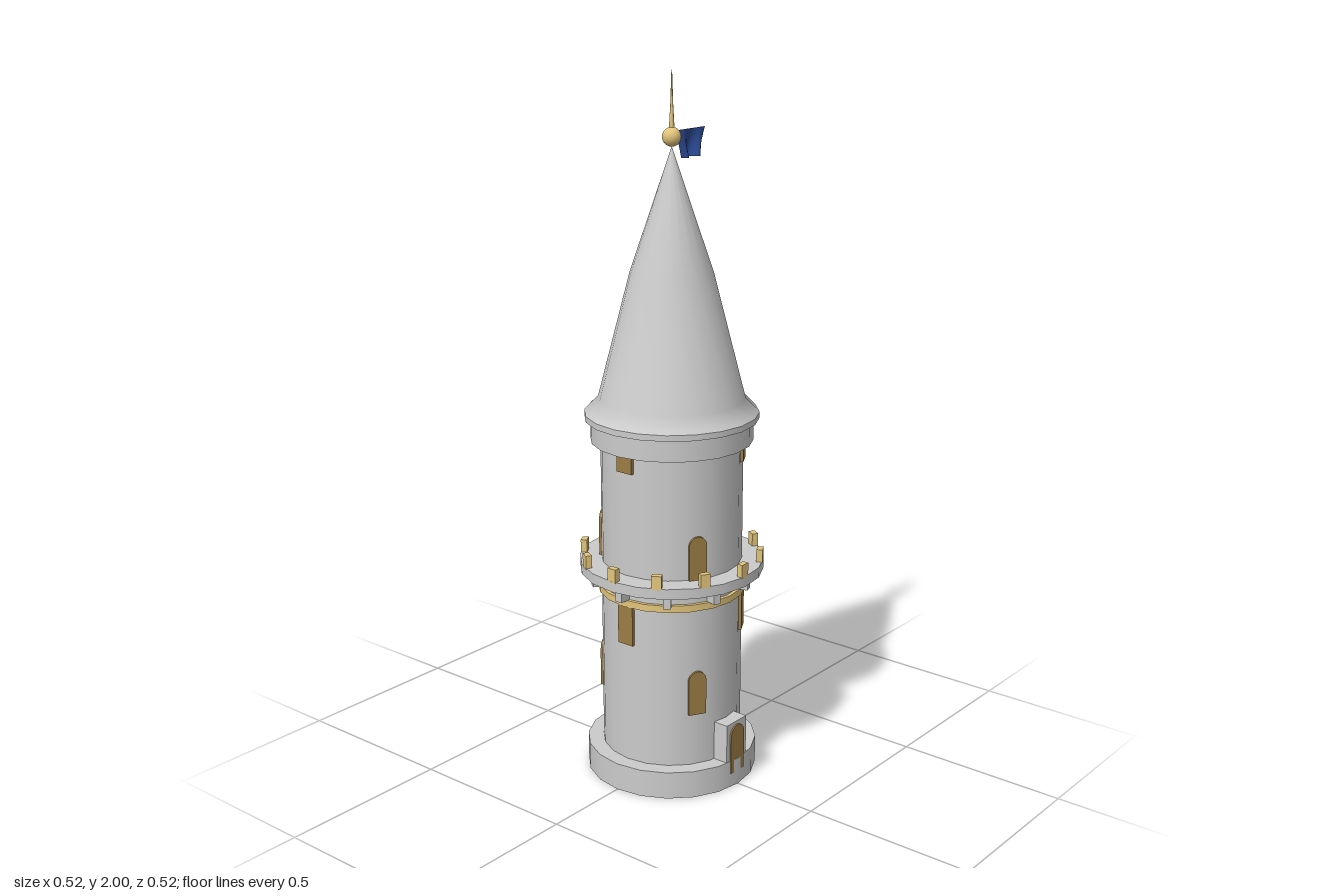
import * as THREE from 'three';

const SIDES = 20;
const stone = new THREE.MeshStandardMaterial({ color: 0xcccccc });
const gold = new THREE.MeshStandardMaterial({ color: 0xe3c57c });
const wood = new THREE.MeshStandardMaterial({ color: 0x9c7c46 });
const cloth = new THREE.MeshStandardMaterial({ color: 0x2b4a94, side: THREE.DoubleSide });

export function createModel() {
  const model = new THREE.Group();

  const add = (name, geometry, material, parent = model) => {
    const mesh = new THREE.Mesh(geometry, material);
    mesh.name = name;
    parent.add(mesh);
    return mesh;
  };

  // Upright drum between two heights
  const drum = (name, radius, y0, y1, material = stone) => {
    const mesh = add(name, new THREE.CylinderGeometry(radius, radius, y1 - y0, SIDES), material);
    mesh.position.y = (y0 + y1) / 2;
    return mesh;
  };

  // Place a mesh on the circle, facing outwards; angle 0 is the front
  const around = (mesh, degrees, radius, y) => {
    const a = THREE.MathUtils.degToRad(degrees);
    mesh.position.set(Math.sin(a) * radius, y, Math.cos(a) * radius);
    mesh.rotation.y = a;
  };

  // Round-arched panel, standing on its origin, front face at z = 0
  const archPanel = (width, height, depth) => {
    const r = width / 2;
    const shape = new THREE.Shape();
    shape.moveTo(-r, 0);
    shape.lineTo(r, 0);
    shape.lineTo(r, height - r);
    shape.absarc(0, height - r, r, 0, Math.PI, false);
    shape.closePath();
    const geometry = new THREE.ExtrudeGeometry(shape, { depth, bevelEnabled: false, curveSegments: 8 });
    return geometry.translate(0, 0, -depth);
  };

  // Tower drums
  drum('base', 0.245, 0, 0.08);
  drum('shaft', 0.2, 0.08, 1.0);
  drum('goldBand', 0.21, 0.55, 0.57, gold);
  drum('balcony', 0.262, 0.61, 0.64);
  drum('cornice', 0.228, 0.99, 1.055);
  drum('eave', 0.244, 1.053, 1.07);

  // Roof with flared foot
  const roofProfile = [[0.244, 1.07], [0.205, 1.11], [0.115, 1.46], [0, 1.8]];
  add('roof', new THREE.LatheGeometry(roofProfile.map(([x, y]) => new THREE.Vector2(x, y)), SIDES), stone);

  // Balcony battlements
  const merlons = new THREE.Group();
  merlons.name = 'battlements';
  model.add(merlons);
  const merlonGeometry = new THREE.BoxGeometry(0.028, 0.04, 0.018);
  for (let i = 0; i < 12; i++) around(add('merlon', merlonGeometry, gold, merlons), i * 30, 0.2525, 0.657);

  // Brackets under the balcony
  const corbels = new THREE.Group();
  corbels.name = 'corbels';
  model.add(corbels);
  const corbelGeometry = new THREE.BoxGeometry(0.022, 0.042, 0.05);
  for (let i = 0; i < 10; i++) around(add('corbel', corbelGeometry, stone, corbels), 18 + i * 36, 0.207, 0.591);

  // Windows: three per level, alternate levels turned by 60 degrees
  const windows = new THREE.Group();
  windows.name = 'windows';
  model.add(windows);
  const windowGeometry = archPanel(0.052, 0.13, 0.03);
  [[0.235, 90], [0.435, 30], [0.635, 90], [0.938, 30]].forEach(([y, start]) => {
    for (let i = 0; i < 3; i++) around(add('window', windowGeometry, wood, windows), start + i * 120, 0.205, y);
  });

  // Porch and door
  const porch = add('porch', new THREE.BoxGeometry(0.09, 0.155, 0.07), stone);
  porch.position.set(0, 0.1175, 0.203);
  around(add('door', archPanel(0.06, 0.145, 0.03), wood), 0, 0.2425, 0.04);

  // Finial
  add('finialBall', new THREE.SphereGeometry(0.026, 16, 12), gold).position.y = 1.825;
  add('finialStem', new THREE.CylinderGeometry(0.004, 0.008, 0.07, 8), gold).position.y = 1.875;
  add('finialSpike', new THREE.CylinderGeometry(0.001, 0.004, 0.09, 8), gold).position.y = 1.955;

  // Flag: straight along the top, waving and gathered at the bottom
  const flag = new THREE.PlaneGeometry(1, 1, 12, 4);
  const p = flag.attributes.position;
  for (let i = 0; i < p.count; i++) {
    const u = p.getX(i) + 0.5;
    const drop = 0.5 - p.getY(i);
    const x = THREE.MathUtils.lerp(0.018 + 0.022 * drop, 0.142 - 0.03 * drop, u);
    const wave = 0.018 * drop * Math.sin(u * Math.PI * 3);
    p.setXYZ(i, x, 1.84 - 0.075 * drop, wave);
  }
  flag.computeVertexNormals();
  add('flag', flag, cloth);

  return model;
}
